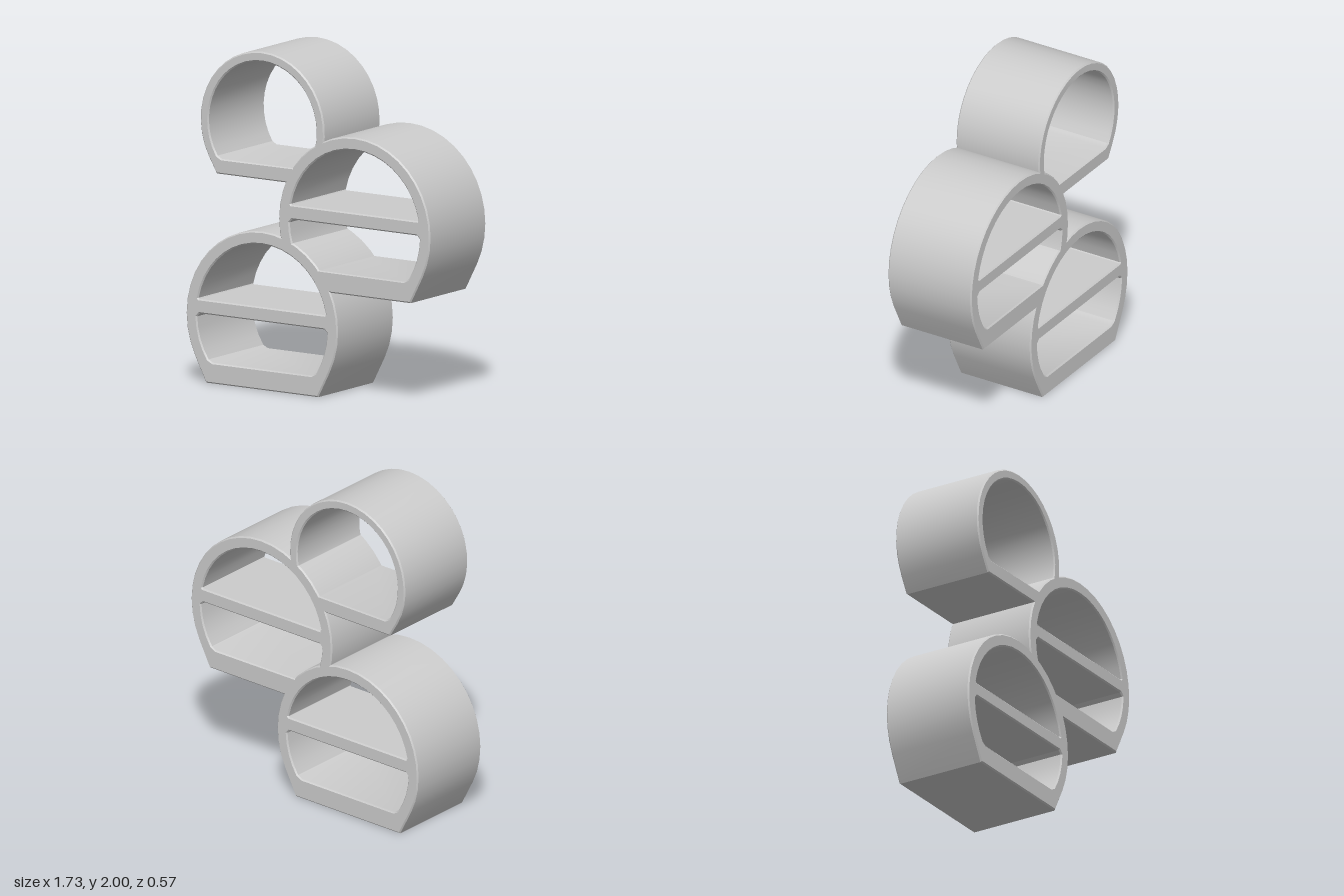
import * as THREE from 'three';
import { toCreasedNormals } from 'three/addons/utils/BufferGeometryUtils.js';

const DEPTH = 0.57, BEVEL = 0.008, STEP = Math.PI / 20;

// Closes a bottom-to-top right-hand profile with its mirror image, moved to (cx, cy)
function mirrorLoop(half, cx, cy) {
  const left = half.filter(([x]) => x > 1e-6).reverse().map(([x, y]) => [-x, y]);
  return [...half, ...left].map(([x, y]) => new THREE.Vector2(x + cx, y + cy));
}

function arc(r, a0, a1) {
  const n = Math.max(2, Math.round((a1 - a0) / STEP));
  return Array.from({ length: n + 1 }, (_, i) => {
    const a = a0 + (a1 - a0) * i / n;
    return [r * Math.cos(a), r * Math.sin(a)];
  });
}

// Circle whose sides run straight down (tangentially) to a flat base
const outline = u => mirrorLoop(
  [[u.base, -u.drop], ...arc(u.r, -u.tangent, Math.PI / 2)], u.x, u.y);

// Slice of the inner circle between two heights, with softened corners
function opening(u, y0, y1) {
  const r = u.inner, closed = y1 >= r, soft = closed && y0 > 0 ? 0.006 : 0.02;
  const a0 = Math.asin(y0 / r), a1 = Math.asin(Math.min(1, y1 / r));
  const half = [[r * Math.cos(a0) - soft, y0],
    ...arc(r, a0 + soft / r, closed ? a1 : a1 - soft / r)];
  if (!closed) half.push([r * Math.cos(a1) - soft, y1]);
  return mirrorLoop(half, u.x, u.y);
}

// The run of a loop that lies outside a circle, ending on the circle
function runOutside(loop, c) {
  const centre = new THREE.Vector2(c.x, c.y), radius = c.r - 0.03;
  const out = p => p.distanceTo(centre) > radius;
  const cross = (a, b) => {
    let lo = 0, hi = 1;
    for (let i = 0; i < 24; i++) {
      const m = (lo + hi) / 2;
      if (out(a.clone().lerp(b, m)) === out(a)) lo = m; else hi = m;
    }
    return a.clone().lerp(b, lo);
  };
  const n = loop.length, at = i => loop[(i + n) % n];
  let i = loop.findIndex((p, k) => out(p) && !out(at(k - 1)));
  const run = [cross(at(i - 1), at(i))];
  for (; out(at(i)); i++) run.push(at(i).clone());
  run.push(cross(at(i - 1), at(i)));
  return run;
}

function buildRing(u) {
  const lowest = opening(u, u.floor, u.shelf ? u.shelf[0] : u.inner);
  let contour = outline(u);
  const holes = u.shelf ? [opening(u, u.shelf[1], u.inner)] : [];
  // A ring resting on another is left open where the lower one takes its place
  if (u.on) contour = [...runOutside(contour, u.on), ...runOutside(lowest, u.on).reverse()];
  else holes.push(lowest);

  const shape = new THREE.Shape(contour);
  shape.holes = holes.map(h => new THREE.Path(h));
  const geometry = new THREE.ExtrudeGeometry(shape, {
    depth: DEPTH - 2 * BEVEL, bevelThickness: BEVEL, bevelSize: BEVEL,
    bevelOffset: -BEVEL, bevelSegments: 1, steps: 1
  });
  geometry.translate(0, 0, BEVEL - DEPTH / 2);
  const mesh = new THREE.Mesh(toCreasedNormals(geometry, 0.5),
    new THREE.MeshStandardMaterial({ color: 0xcccccc }));
  mesh.name = u.name;
  return mesh;
}

export function createModel() {
  const group = new THREE.Group();
  group.name = 'ringShelf';

  // Two large rings with a middle board, and a smaller plain one on top
  const large = { r: 0.537, inner: 0.462, base: 0.397, drop: 0.4, tangent: 0.47,
    floor: -0.277, shelf: [0.005, 0.09] };
  const lower = { ...large, name: 'lowerRing', x: -0.328, y: 0.4 };
  const middle = { ...large, name: 'middleRing', x: 0.328, y: 1.027, on: lower };
  const upper = { name: 'upperRing', x: -0.325, y: 1.56, r: 0.44, inner: 0.382,
    base: 0.325, drop: 0.315, tangent: 0.53, floor: -0.225, on: middle };

  for (const unit of [lower, middle, upper]) group.add(buildRing(unit));
  return group;
}
